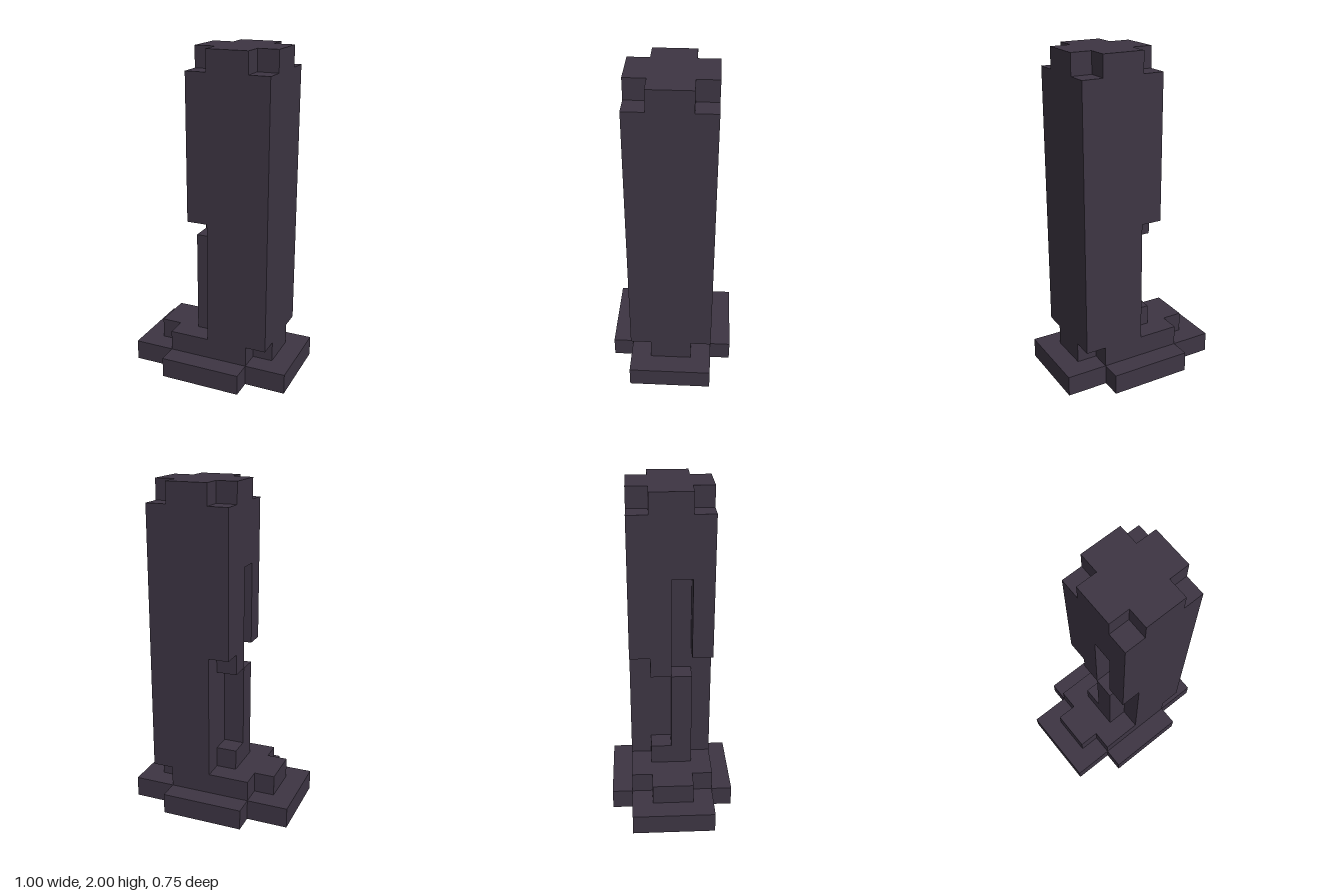
import * as THREE from 'three';

const U = 0.125; // one block

export function createModel() {
  const group = new THREE.Group();
  const darkStone = new THREE.MeshStandardMaterial({ color: 0x3d3543 });
  darkStone.name = 'darkStone';

  function add(name, geometry) {
    const mesh = new THREE.Mesh(geometry, darkStone);
    mesh.name = name;
    group.add(mesh);
  }

  const outline = (points) =>
    new THREE.Shape(points.map(([a, b]) => new THREE.Vector2(a * U, b * U)));

  // Slab with its four corners cut out; all sizes in blocks
  function notchedSlab(name, [x0, x1], z, notchX, notchZ, y, height) {
    const a = x0 + notchX, b = x1 - notchX, c = z - notchZ;
    const shape = outline([
      [a, -z], [b, -z], [b, -c], [x1, -c], [x1, c], [b, c],
      [b, z], [a, z], [a, c], [x0, c], [x0, -c], [a, -c],
    ]);
    const geometry = new THREE.ExtrudeGeometry(shape, { depth: height * U, bevelEnabled: false });
    add(name, geometry.rotateX(-Math.PI / 2).translate(0, y * U, 0));
  }

  // One-block-thick panel on the -x side, outlined by [z, y] in blocks
  function sidePanel(name, points) {
    const shape = outline(points.map(([z, y]) => [-z, y]));
    const geometry = new THREE.ExtrudeGeometry(shape, { depth: U, bevelEnabled: false });
    add(name, geometry.rotateY(Math.PI / 2).translate(-U, 0, 0));
  }

  // Stepped foot
  notchedSlab('base', [-4, 4], 3, 2, 1, 0, 1);
  notchedSlab('step', [-3, 3], 2, 1, 1, 1, 1);

  // Main shaft and crown
  add('shaft', new THREE.BoxGeometry(3 * U, 13 * U, 4 * U).translate(1.5 * U, 8.5 * U, 0));
  notchedSlab('crown', [-1, 3], 2, 1, 1, 15, 1);

  // Upper panel with a slit and a hanging tab
  sidePanel('upperPanel', [
    [-2, 8], [-1, 8], [-1, 7], [0, 7], [0, 12], [1, 12],
    [1, 8], [2, 8], [2, 15], [-2, 15],
  ]);

  // Lower rib with a small foot block
  sidePanel('lowerRib', [[-1, 2], [1, 2], [1, 7], [0, 7], [0, 3], [-1, 3]]);

  return group;
}
